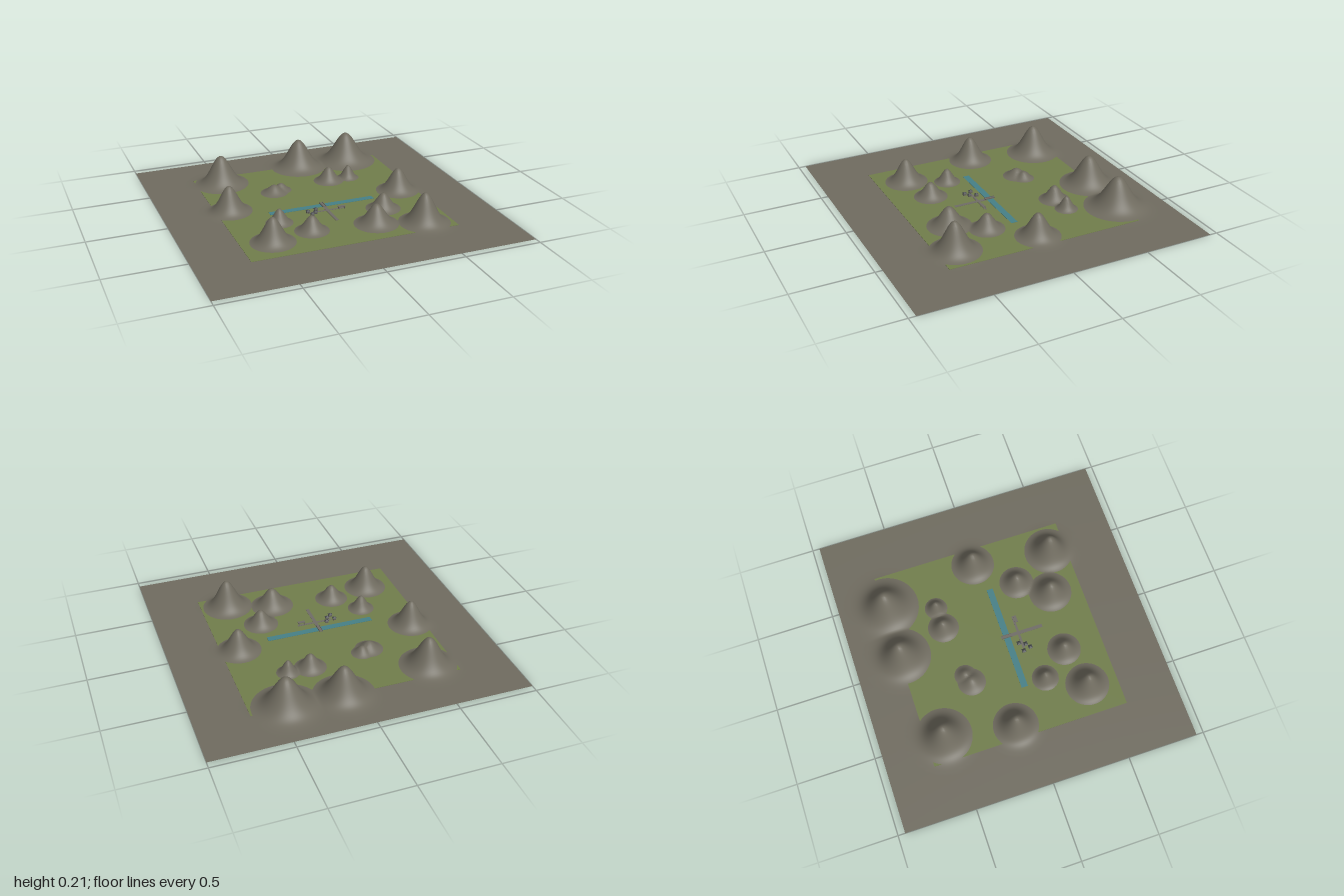
import * as THREE from 'three';

const mat = (name, color, side = THREE.FrontSide) => {
  const m = new THREE.MeshStandardMaterial({ color, side });
  m.name = name;
  return m;
};

// Hills: x, z, radius where the slope meets the meadow, height
const HILLS = [
  [-0.5, -0.55, 0.18, 0.205], [0.09, -0.65, 0.19, 0.205], [0.445, -0.645, 0.21, 0.212],
  [-0.58, -0.1, 0.145, 0.177], [0.555, -0.015, 0.142, 0.162], [-0.345, 0.18, 0.086, 0.1],
  [-0.2, 0.36, 0.108, 0.107], [-0.47, 0.42, 0.14, 0.168], [0.34, 0.22, 0.112, 0.112],
  [0.205, 0.41, 0.14, 0.137], [0.49, 0.5, 0.162, 0.202], [0.19, -0.335, 0.1, 0.105],
  [0.335, -0.34, 0.073, 0.095], [-0.22, -0.275, 0.09, 0.06], [-0.165, -0.3, 0.07, 0.055],
];
const TOP = 0.005; // meadow surface

function hillHeight(x, z) {
  let y = 0;
  for (const [hx, hz, r, h] of HILLS) {
    const d2 = ((x - hx) ** 2 + (z - hz) ** 2) / (r * r);
    y = Math.max(y, h * Math.pow(TOP / h, d2)); // bell that reaches TOP at r
  }
  return y < 0.0003 ? 0 : y;
}

export function createModel() {
  const root = new THREE.Group();
  const rock = mat('rock grey', 0x6f6b5f, THREE.DoubleSide);
  const grass = mat('meadow green', 0x707d4b);
  const water = mat('river teal', 0x467f86);
  const pathMat = mat('path grey', 0x6f6c66);
  const wall = mat('wall grey', 0x66645c);
  const roofMat = mat('roof slate', 0x46494c);

  const add = (parent, name, geo, material, x = 0, y = 0, z = 0) => {
    const m = new THREE.Mesh(geo, material);
    m.name = name;
    m.position.set(x, y, z);
    parent.add(m);
    return m;
  };
  const box = (w, h, d) => new THREE.BoxGeometry(w, h, d);

  // Rocky ground sheet raised into hills
  const ground = new THREE.PlaneGeometry(2, 1.91, 190, 182).rotateX(-Math.PI / 2);
  const p = ground.attributes.position;
  for (let i = 0; i < p.count; i++) p.setY(i, hillHeight(p.getX(i), p.getZ(i)));
  ground.computeVertexNormals();
  add(root, 'hillyGround', ground, rock);

  // Meadow, river and crossing paths
  add(root, 'meadow', box(1.335, 0.002, 1.28), grass, 0, TOP - 0.001, -0.025);
  add(root, 'river', box(0.71, 0.002, 0.042), water, -0.005, TOP + 0.001, 0.036);
  add(root, 'mainPath', box(0.022, 0.002, 0.22), pathMat, 0, TOP + 0.001, 0.17);
  add(root, 'sidePath', box(0.23, 0.0016, 0.015), pathMat, 0.005, TOP + 0.0008, 0.117);

  // Bridge over the river
  const bridge = new THREE.Group();
  bridge.name = 'bridge';
  root.add(bridge);
  add(bridge, 'bridgeDeck', box(0.022, 0.003, 0.07), pathMat, 0, TOP + 0.004, 0.035);
  for (const s of [-1, 1])
    add(bridge, 'bridgeRail', box(0.002, 0.005, 0.07), wall, s * 0.01, TOP + 0.007, 0.035);

  // Small houses with pyramid roofs
  for (const [x, z] of [[-0.13, 0.11], [-0.071, 0.095], [-0.089, 0.135], [-0.118, 0.157]]) {
    const house = new THREE.Group();
    house.name = 'house';
    house.position.set(x, TOP, z);
    root.add(house);
    add(house, 'walls', box(0.02, 0.013, 0.02), wall, 0, 0.0065, 0);
    const roof = new THREE.ConeGeometry(0.0185, 0.01, 4, 1).rotateY(Math.PI / 4).toNonIndexed();
    roof.computeVertexNormals();
    add(house, 'roof', roof, roofMat, 0, 0.018, 0);
    add(house, 'door', box(0.005, 0.008, 0.001), roofMat, 0, 0.004, 0.0103);
  }

  // Open shelter beside the path: posts under a shallow roof
  const shelter = new THREE.Group();
  shelter.name = 'shelter';
  shelter.position.set(0.092, TOP, 0.127);
  root.add(shelter);
  for (const x of [-0.018, 0.018]) for (const z of [-0.007, 0.007])
    add(shelter, 'post', box(0.003, 0.015, 0.003), wall, x, 0.0075, z);
  add(shelter, 'shelterRoof', box(0.046, 0.004, 0.02), pathMat, 0, 0.017, 0);

  return root;
}
